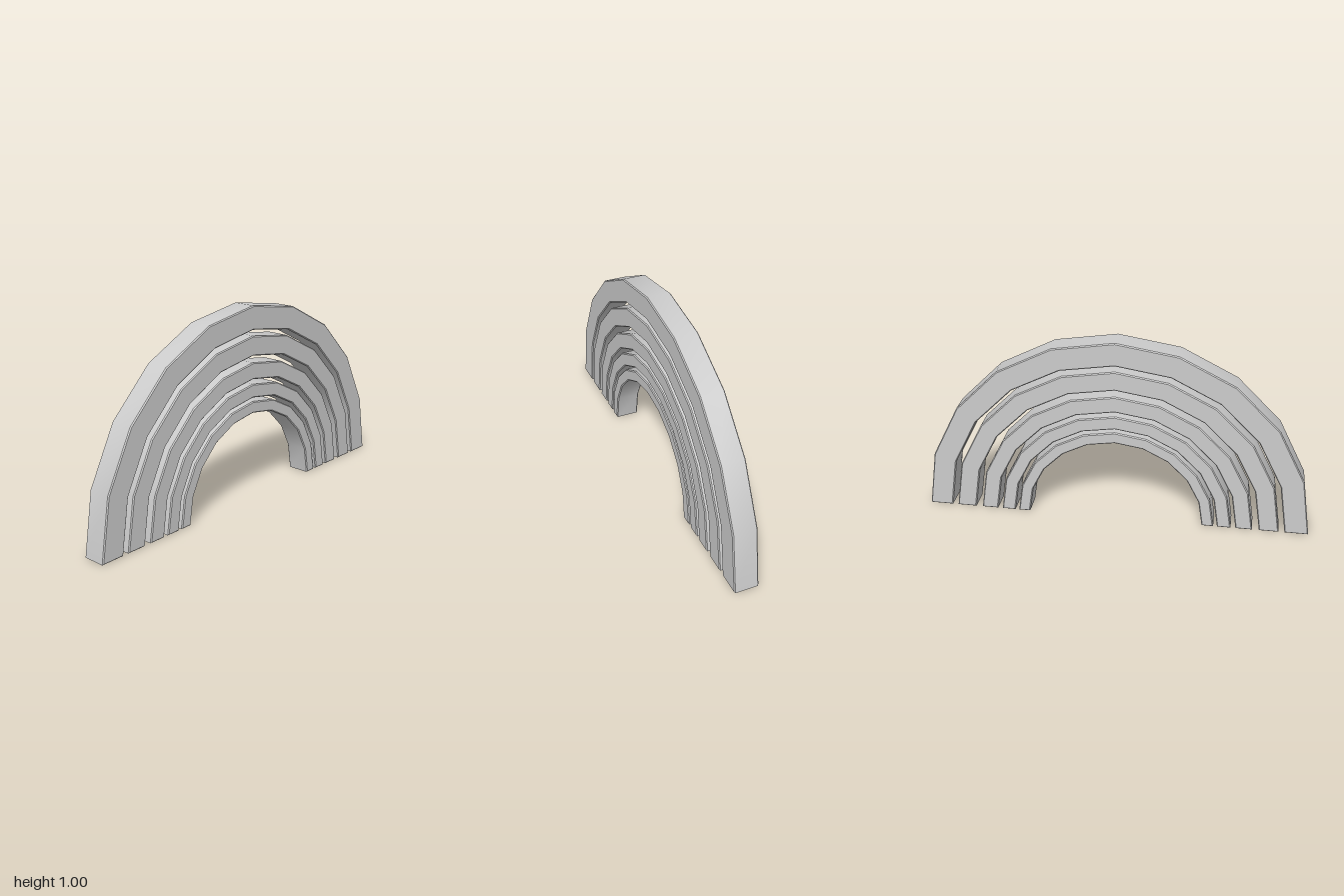
import * as THREE from 'three';
import { toCreasedNormals } from 'three/addons/utils/BufferGeometryUtils.js';

const DEPTH = 0.123;
const BEVEL = 0.005;
const SEGMENTS = 10;

// Half ring with straight facets and slightly chamfered edges
function archGeometry(outer, inner) {
  const points = [];
  const addArc = (radius, from, to) => {
    for (let i = 0; i <= SEGMENTS; i++) {
      const a = THREE.MathUtils.lerp(from, to, i / SEGMENTS);
      points.push(new THREE.Vector2(radius * Math.cos(a), radius * Math.sin(a)));
    }
  };
  addArc(outer, 0, Math.PI);
  addArc(inner, Math.PI, 0);

  const geometry = new THREE.ExtrudeGeometry(new THREE.Shape(points), {
    depth: DEPTH - 2 * BEVEL,
    bevelEnabled: true,
    bevelThickness: BEVEL,
    bevelSize: BEVEL,
    bevelOffset: -BEVEL,
    bevelSegments: 1,
  });
  geometry.translate(0, 0, BEVEL - DEPTH / 2);
  return toCreasedNormals(geometry, 0.5);
}

export function createModel() {
  const group = new THREE.Group();
  group.name = 'nestedArches';
  const material = new THREE.MeshStandardMaterial({ color: 0xcccccc });

  // Outer and inner radius of each arch, largest first
  const arches = [
    [1.0, 0.88],
    [0.85, 0.75],
    [0.715, 0.63],
    [0.605, 0.535],
    [0.515, 0.455],
  ];
  arches.forEach(([outer, inner], i) => {
    const arch = new THREE.Mesh(archGeometry(outer, inner), material);
    arch.name = `arch${i + 1}`;
    group.add(arch);
  });
  return group;
}
